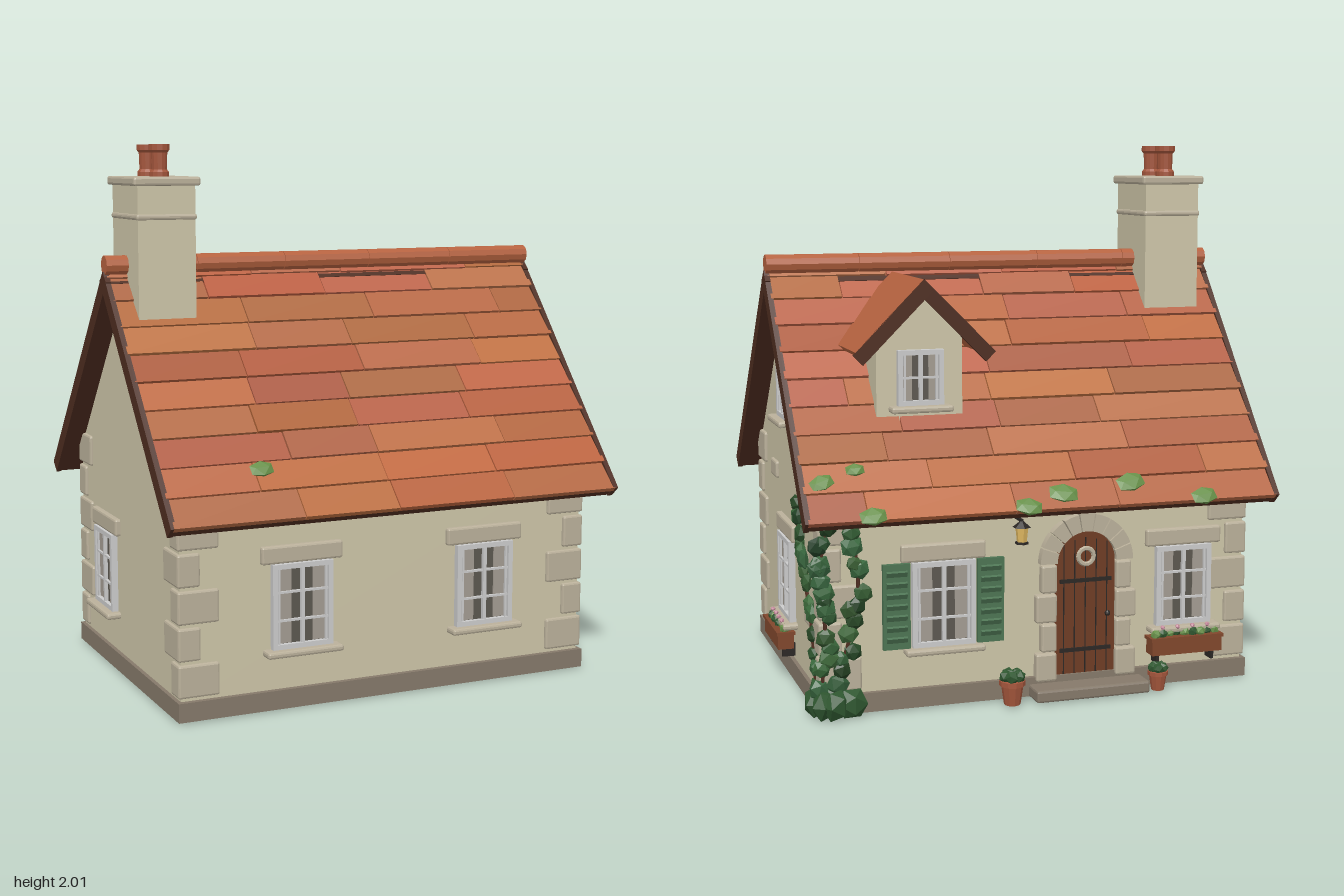
import * as THREE from 'three';
import { RoundedBoxGeometry } from 'three/addons/geometries/RoundedBoxGeometry.js';

const C = { wall: 0xcdc5a8, stone: 0xbab09a, plinth: 0x85796a, frame: 0xc9c9c6, glass: 0x5c5850, curtain: 0xa39c92,
  wood: 0x4e2d20, door: 0x6e3c24, clay: 0xa4563c, tile: 0xb5623f, ivy: 0x2f5730, moss: 0x668f48, shutter: 0x4d7453,
  iron: 0x2b2724, planter: 0x80472c, flower: 0xc58a9c, lamp: 0xe0b860 };
const mats = {};
const mat = (c) => (mats[c] ??= new THREE.MeshStandardMaterial({ color: c, flatShading: true }));
let seed = 7;
const rand = (a = 0, b = 1) => { seed = (seed * 16807) % 2147483647; return a + (b - a) * seed / 2147483647; };

function add(parent, name, geo, color, x = 0, y = 0, z = 0) {
  const m = new THREE.Mesh(geo, mat(color));
  m.name = name; m.position.set(x, y, z); parent.add(m);
  return m;
}
function group(parent, name, x = 0, y = 0, z = 0, ry = 0) {
  const g = new THREE.Group();
  g.name = name; g.position.set(x, y, z); g.rotation.y = ry; parent.add(g);
  return g;
}
const box = (w, h, d) => new THREE.BoxGeometry(w, h, d);
const block = (w, h, d) => new RoundedBoxGeometry(w, h, d, 1, 0.008);
const extrude = (s, depth) => new THREE.ExtrudeGeometry(s, { depth, bevelEnabled: false, curveSegments: 14 });
const poly = (pts) => new THREE.Shape(pts.map((p) => new THREE.Vector2(...p)));
const gable = (hw, y0, y1, y2) => poly([[-hw, y0], [hw, y0], [hw, y1], [0, y2], [-hw, y1]]);
const leafGeo = new THREE.IcosahedronGeometry(1, 0);
function leaf(parent, name, color, x, y, z, sx, sy, sz) {
  const m = add(parent, name, leafGeo, color, x, y, z);
  m.scale.set(sx, sy, sz); m.rotation.set(rand(-0.4, 0.4), rand(-0.4, 0.4), rand(0, 3));
  return m;
}

// Window facing +z, centred on its opening
function makeWindow(parent, x, y, z, ry, w, h, { lintel = true, rows = 3 } = {}) {
  const g = group(parent, 'window', x, y, z, ry);
  add(g, 'glass', box(w - 0.02, h - 0.02, 0.01), C.glass, 0, 0, 0.003);
  for (const s of [-1, 1]) {
    add(g, 'curtain', box(w * 0.2, h - 0.04, 0.004), C.curtain, s * w * 0.28, 0, 0.01);
    add(g, 'frameSide', box(0.018, h, 0.03), C.frame, s * (w / 2 - 0.009), 0, 0.01);
    add(g, 'frameRail', box(w, 0.018, 0.03), C.frame, 0, s * (h / 2 - 0.009), 0.01);
    add(g, 'sashSide', box(0.008, h - 0.03, 0.02), C.frame, s * (w / 2 - 0.026), 0, 0.01);
  }
  add(g, 'mullion', box(0.014, h - 0.02, 0.02), C.frame, 0, 0, 0.012);
  for (let i = 1; i < rows; i++) add(g, 'glazingBar', box(w - 0.03, 0.008, 0.018), C.frame, 0, h * (i / rows - 0.5), 0.011);
  add(g, 'sill', block(w + 0.06, 0.024, 0.07), C.stone, 0, -h / 2 - 0.012, 0.02);
  if (lintel) add(g, 'lintel', block(w + 0.08, 0.065, 0.03), C.stone, 0, h / 2 + 0.034, 0.006);
  return g;
}

// Flower box facing +z
function makePlanter(parent, x, y, z, ry) {
  const g = group(parent, 'planter', x, y, z, ry);
  add(g, 'planterBox', box(0.28, 0.06, 0.06), C.planter, 0, 0, 0.045);
  add(g, 'planterRim', box(0.29, 0.012, 0.07), C.planter, 0, 0.03, 0.045);
  for (const s of [-1, 1]) add(g, 'bracket', box(0.012, 0.05, 0.05), C.iron, s * 0.11, -0.04, 0.03);
  for (let i = 0; i < 9; i++) {
    const px = -0.12 + i * 0.03;
    leaf(g, 'plant', i % 2 ? C.ivy : C.moss, px, 0.045, 0.045 + rand(-0.015, 0.015), 0.022, 0.02, 0.02);
    if (i % 2) leaf(g, 'flower', C.flower, px, 0.068, 0.05, 0.01, 0.01, 0.01);
  }
}

function makePot(parent, x, z, s) {
  const g = group(parent, 'flowerPot', x, 0, z);
  g.scale.setScalar(s);
  add(g, 'pot', new THREE.CylinderGeometry(0.042, 0.03, 0.08, 10), C.clay, 0, 0.04, 0);
  add(g, 'potRim', new THREE.CylinderGeometry(0.048, 0.048, 0.018, 10), C.clay, 0, 0.08, 0);
  for (let i = 0; i < 5; i++) leaf(g, 'plant', C.ivy, 0.025 * Math.cos(i * 1.26), 0.105, 0.025 * Math.sin(i * 1.26), 0.026, 0.026, 0.026);
}

const RIDGE = 1.53, PITCH = Math.atan2(0.81, 0.707), SLOPE = 1.075;

// One roof slope; inside it +z runs down the slope and +y points outwards
function makeSlope(parent, ry, moss) {
  const g = group(group(parent, 'roofSide', 0, RIDGE, 0, ry), 'slope');
  g.rotation.x = PITCH;
  add(g, 'roofDeck', box(1.75, 0.025, SLOPE - 0.01), C.wood, 0, -0.033, SLOPE / 2);
  const rows = 9, pitch = SLOPE / rows;
  for (let r = 0; r < rows; r++) {
    for (let x = -0.88; x < 0.879;) {
      let w = x === -0.88 ? rand(0.2, 0.5) : rand(0.34, 0.58);
      if (x + w > 0.72) w = 0.88 - x;
      const c = new THREE.Color(C.tile).offsetHSL(rand(-0.008, 0.012), rand(-0.05, 0.03), rand(-0.035, 0.035)).getHex();
      const t = add(g, 'tile', box(w - 0.004, 0.02, pitch + 0.012), c, x + w / 2, -0.007 + rand(-0.002, 0.002), (r + 0.5) * pitch);
      t.rotation.x = -0.09;
      x += w;
    }
  }
  for (const s of [-1, 1]) add(g, 'bargeBoard', box(0.02, 0.055, SLOPE + 0.01), C.wood, s * 0.88, -0.02, SLOPE / 2);
  add(g, 'eaveBoard', box(1.76, 0.03, 0.025), C.wood, 0, -0.03, SLOPE - 0.01);
  for (const [x, z, s] of moss) {
    const m = add(g, 'moss', leafGeo, C.moss, x, 0.008, z / Math.cos(PITCH));
    m.scale.set(0.055 * s, 0.014, 0.038 * s); m.rotation.y = rand(-0.4, 0.4);
  }
}

function makeDormer(parent) {
  const g = group(parent, 'dormer', 0.41, 0, -0.435, Math.PI);
  add(g, 'dormerWall', extrude(gable(0.16, 0.98, 1.32, 1.475), 0.36), C.wall, 0, 0, -0.36);
  makeWindow(g, 0, 1.175, 0, 0, 0.17, 0.2, { lintel: false, rows: 2 });
  for (const s of [-1, 1]) {
    const side = group(g, 'dormerRoofSide', 0, 1.53, 0);
    side.rotation.z = -s * Math.PI / 4;
    add(side, 'dormerRoof', box(0.355, 0.03, 0.46), C.tile, s * 0.178, -0.015, -0.155);
    add(side, 'dormerBarge', box(0.37, 0.05, 0.016), C.wood, s * 0.185, -0.025, 0.075);
  }
}

function makeChimney(parent) {
  const g = group(parent, 'chimney', -0.69, 0, 0);
  add(g, 'stack', box(0.22, 0.66, 0.29), C.wall, 0, 1.53, 0);
  add(g, 'band', block(0.232, 0.022, 0.302), C.stone, 0, 1.74, 0);
  add(g, 'cap', block(0.255, 0.032, 0.32), C.stone, 0, 1.868, 0);
  const profile = [[0, 0], [0.036, 0], [0.036, 0.02], [0.028, 0.03], [0.03, 0.09], [0.038, 0.1], [0.038, 0.12], [0.024, 0.12], [0.022, 0.06], [0, 0.06]];
  for (const z of [-0.07, 0.07])
    add(g, 'chimneyPot', new THREE.LatheGeometry(profile.map((p) => new THREE.Vector2(...p)), 12), C.clay, 0, 1.88, z);
}

// Arched plank door with stone surround, facing +z
function makeDoor(parent) {
  const g = group(parent, 'entrance', -0.176, 0, -0.57, Math.PI);
  const r = 0.115, cy = 0.49;
  const s = poly([[-r, 0.04], [r, 0.04], [r, cy]]);
  s.absarc(0, cy, r, 0, Math.PI, false);
  add(g, 'door', extrude(s, 0.012), C.door);
  for (let i = -2; i <= 2; i++) add(g, 'plankGroove', box(0.004, 0.54 - Math.abs(i) * 0.018, 0.003), C.iron, i * 0.042, 0.31, 0.012);
  for (const y of [0.16, 0.42]) add(g, 'strap', box(0.2, 0.014, 0.008), C.iron, 0, y, 0.015);
  add(g, 'doorRing', new THREE.TorusGeometry(0.03, 0.009, 6, 14), C.stone, 0, 0.51, 0.018);
  add(g, 'doorKnob', new THREE.SphereGeometry(0.011, 8, 6), C.iron, 0.085, 0.29, 0.02);
  for (let i = 0; i < 9; i++) {
    const a0 = (i + 0.04) * Math.PI / 9, a1 = (i + 0.96) * Math.PI / 9, v = new THREE.Shape();
    v.absarc(0, cy, r + (i === 4 ? 0.08 : 0.065), a0, a1, false);
    v.absarc(0, cy, r, a1, a0, true);
    add(g, 'archStone', extrude(v, 0.032), C.stone);
  }
  for (const side of [-1, 1]) for (let i = 0; i < 4; i++) {
    const w = i % 2 ? 0.06 : 0.08;
    add(g, 'jambStone', block(w, 0.105, 0.04), C.stone, side * (r + w / 2), 0.105 + i * 0.11, 0.012);
  }
  add(g, 'step', block(0.44, 0.045, 0.11), C.plinth, 0, 0.0225, 0.06);
}

// Climbing strand along a path, with leaves
function makeIvy(parent, pts, count, flat) {
  const g = group(parent, 'ivy');
  const curve = new THREE.CatmullRomCurve3(pts.map((p) => new THREE.Vector3(...p)));
  add(g, 'ivyStem', new THREE.TubeGeometry(curve, 14, 0.007, 5), C.wood);
  for (let i = 0; i < count; i++) {
    const p = curve.getPoint((i + 0.5) / count), size = rand(0.03, 0.045), j = () => rand(-0.022, 0.022);
    const c = new THREE.Color(C.ivy).offsetHSL(rand(-0.02, 0.02), 0, rand(-0.03, 0.04)).getHex();
    const m = leaf(g, 'ivyLeaf', c, p.x + (flat === 'x' ? 0 : j()), p.y + j(), p.z + (flat === 'z' ? 0 : j()), size, size, size);
    m.rotation.set(flat === 'x' ? rand(0, 3) : 0, 0, flat === 'z' ? rand(0, 3) : 0);
    m.scale[flat] = 0.022;
  }
}

export function createModel() {
  const root = new THREE.Group();
  root.name = 'cottage';
  const g = group(root, 'house', -0.003, 0, 0.015);

  // Walls and plinth
  add(g, 'plinth', box(1.65, 0.07, 1.18), C.plinth, 0, 0.035, 0);
  const body = extrude(gable(0.57, 0.05, 0.817, 1.47), 1.62).translate(0, 0, -0.81).rotateY(Math.PI / 2);
  add(g, 'walls', body, C.wall);

  // Corner stones, long side alternating
  for (const sx of [-1, 1]) for (const sz of [-1, 1]) for (let i = 0; i < 6; i++) {
    const w = i % 2 ? 0.085 : 0.155, d = i % 2 ? 0.155 : 0.085;
    add(g, 'cornerStone', block(w, 0.12, d), C.stone, sx * (0.822 - w / 2), 0.142 + i * 0.132, sz * (0.583 - d / 2));
  }
  add(g, 'wallStone', block(0.02, 0.065, 0.11), C.stone, 0.813, 0.752, 0.24);
  add(g, 'wallStone', block(0.02, 0.05, 0.11), C.stone, 0.813, 0.305, -0.385);

  // Windows
  const q = Math.PI / 2;
  for (const x of [-0.352, 0.39]) makeWindow(g, x, 0.375, 0.57, 0, 0.235, 0.31);
  makeWindow(g, 0.81, 0.375, 0, q, 0.23, 0.31);
  makeWindow(g, 0.81, 1.095, 0, q, 0.17, 0.22, { lintel: false, rows: 2 });
  makeWindow(g, -0.81, 0.375, -0.24, -q, 0.22, 0.3);
  makeWindow(g, -0.565, 0.375, -0.57, 2 * q, 0.22, 0.3);
  const shuttered = makeWindow(g, 0.365, 0.375, -0.57, 2 * q, 0.235, 0.31);
  for (const s of [-1, 1]) {
    add(shuttered, 'shutter', box(0.1, 0.31, 0.018), C.shutter, s * 0.175, 0, 0.012);
    for (let i = 0; i < 7; i++) add(shuttered, 'slat', box(0.076, 0.02, 0.01), C.shutter, s * 0.175, -0.12 + i * 0.04, 0.022).rotation.x = 0.5;
  }
  makePlanter(g, 0.81, 0.155, 0, q);
  makePlanter(g, -0.56, 0.155, -0.57, 2 * q);

  // Entrance with pots and lantern
  makeDoor(g);
  makePot(g, 0.13, -0.655, 1);
  makePot(g, -0.44, -0.65, 0.8);
  const lantern = group(g, 'lantern', 0.09, 0.62, -0.64);
  add(lantern, 'lanternArm', box(0.01, 0.01, 0.08), C.iron, 0, 0.05, 0.035);
  add(lantern, 'lanternGlass', new THREE.CylinderGeometry(0.024, 0.018, 0.055, 6), C.lamp);
  add(lantern, 'lanternTop', new THREE.ConeGeometry(0.034, 0.028, 6), C.iron, 0, 0.04, 0);
  add(lantern, 'lanternBase', new THREE.CylinderGeometry(0.024, 0.024, 0.008, 6), C.iron, 0, -0.031, 0);

  // Roof; the second slope is turned round, so its x is mirrored
  makeSlope(g, 0, [[-0.505, 0.575, 0.9]]);
  makeSlope(g, Math.PI, [[0.59, 0.7, 1], [0.32, 0.65, 1.1], [0.055, 0.67, 1.1], [-0.085, 0.7, 1],
    [-0.65, 0.7, 1], [-0.685, 0.575, 0.7], [-0.81, 0.605, 0.9]]);
  for (let i = 0; i < 5; i++)
    add(g, 'ridgeTile', new THREE.CylinderGeometry(0.036, 0.036, 0.352, 10).rotateZ(q), C.tile, -0.708 + i * 0.354, 1.563, 0);
  makeDormer(g);
  makeChimney(g);

  // Ivy on the corner beside the shuttered window
  makeIvy(g, [[0.82, 0.05, -0.53], [0.825, 0.3, -0.475], [0.825, 0.47, -0.35], [0.825, 0.6, -0.27], [0.825, 0.7, -0.2]], 15, 'x');
  makeIvy(g, [[0.82, 0.05, -0.59], [0.8, 0.3, -0.595], [0.82, 0.5, -0.595], [0.79, 0.7, -0.595]], 16, 'z');
  makeIvy(g, [[0.8, 0.05, -0.59], [0.72, 0.25, -0.59], [0.68, 0.45, -0.59], [0.7, 0.68, -0.59]], 14, 'z');
  for (const [x, z] of [[0.81, -0.6], [0.77, -0.62], [0.83, -0.55], [0.71, -0.61]])
    leaf(g, 'ivyBase', C.ivy, x, 0.045, z, 0.06, 0.06, 0.045).rotation.set(0, x * 9, 0);
  return root;
}
